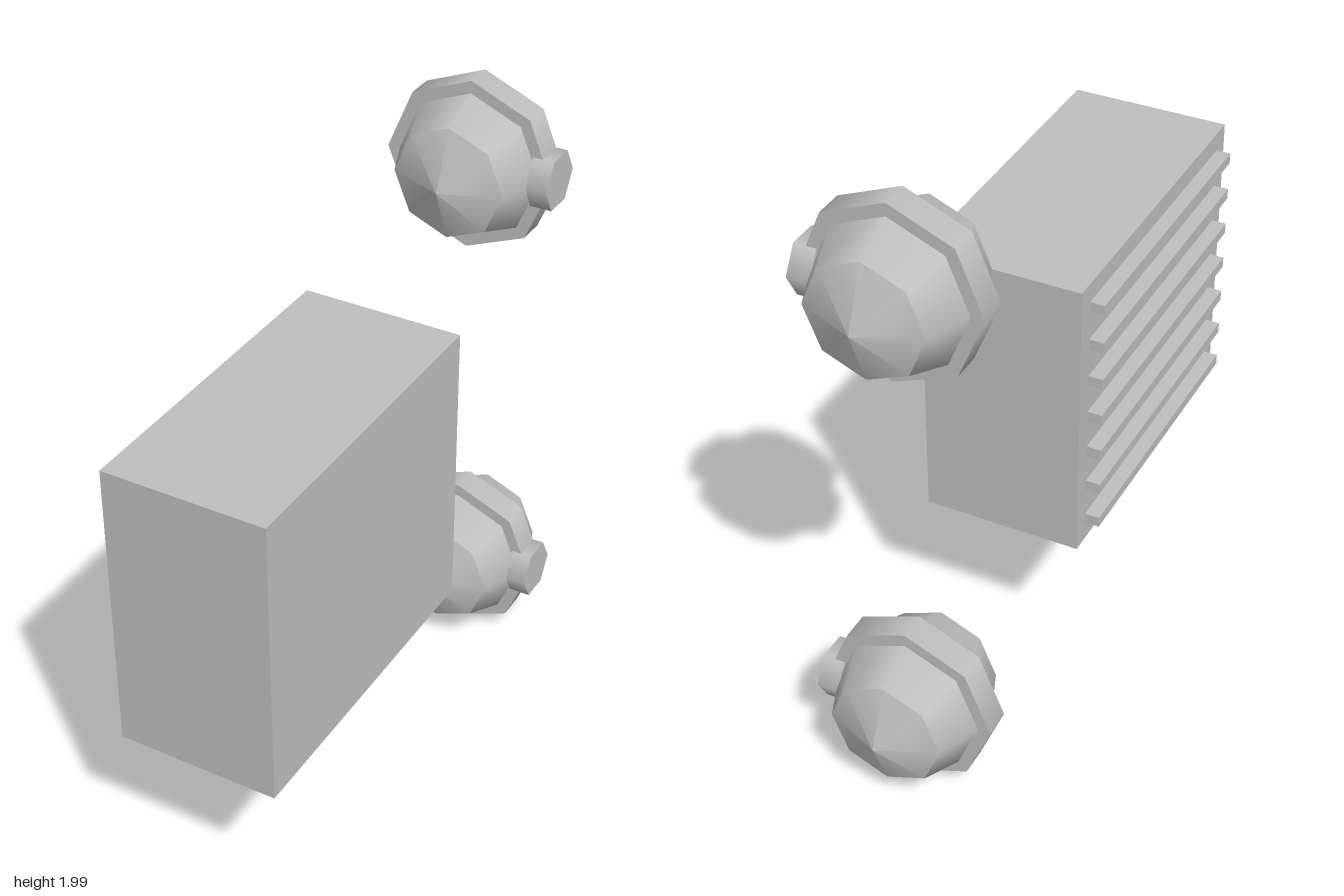
import * as THREE from 'three';

const grey = new THREE.MeshStandardMaterial({ color: 0xbfbfbf });
grey.name = 'grey';

function add(parent, name, geometry, x, y, z) {
  const mesh = new THREE.Mesh(geometry, grey);
  mesh.name = name;
  mesh.position.set(x, y, z);
  parent.add(mesh);
  return mesh;
}

// Eight-sided drum along z, from radius back to radius front
function drum(back, front, length, open = true) {
  return new THREE.CylinderGeometry(front, back, length, 8, 1, open).rotateX(Math.PI / 2);
}

// Faceted pod: two bands, two pointed caps, a central collar and a side knob
function createPod(name, y) {
  const pod = new THREE.Group();
  pod.name = name;
  pod.position.set(0.02, y, -0.664);
  const R = 0.252, r = R * Math.SQRT1_2, tip = R - r;

  add(pod, 'frontBand', drum(R, r, r), 0, 0, r / 2);
  add(pod, 'backBand', drum(r, R, r), 0, 0, -r / 2);
  add(pod, 'frontCap', drum(r, 0, tip), 0, 0, r + tip / 2);
  add(pod, 'backCap', drum(0, r, tip), 0, 0, -r - tip / 2);
  add(pod, 'collar', drum(0.273, 0.273, 0.09, false), 0, 0, 0);

  const knob = new THREE.CylinderGeometry(0.092, 0.092, 0.069, 6).rotateZ(-Math.PI / 2);
  add(pod, 'knob', knob, 0.2425, 0, 0);
  return pod;
}

export function createModel() {
  const model = new THREE.Group();
  model.name = 'boxWithPods';

  // Main housing
  add(model, 'housing', new THREE.BoxGeometry(0.506, 0.926, 1.05), -0.002, 1.003, 0.39);

  // Horizontal ribs on the right side
  const ribs = new THREE.Group();
  ribs.name = 'ribs';
  const ribGeometry = new THREE.BoxGeometry(0.048, 0.034, 0.935);
  for (let i = 0; i < 7; i++) {
    add(ribs, 'rib', ribGeometry, -0.277, 0.62 + i * 0.128, 0.388);
  }
  model.add(ribs);

  // Pods behind the housing
  model.add(createPod('upperPod', 1.727), createPod('lowerPod', 0.28));

  // Rest on the ground
  const box = new THREE.Box3().setFromObject(model);
  model.children.forEach((part) => { part.position.y -= box.min.y; });
  return model;
}
